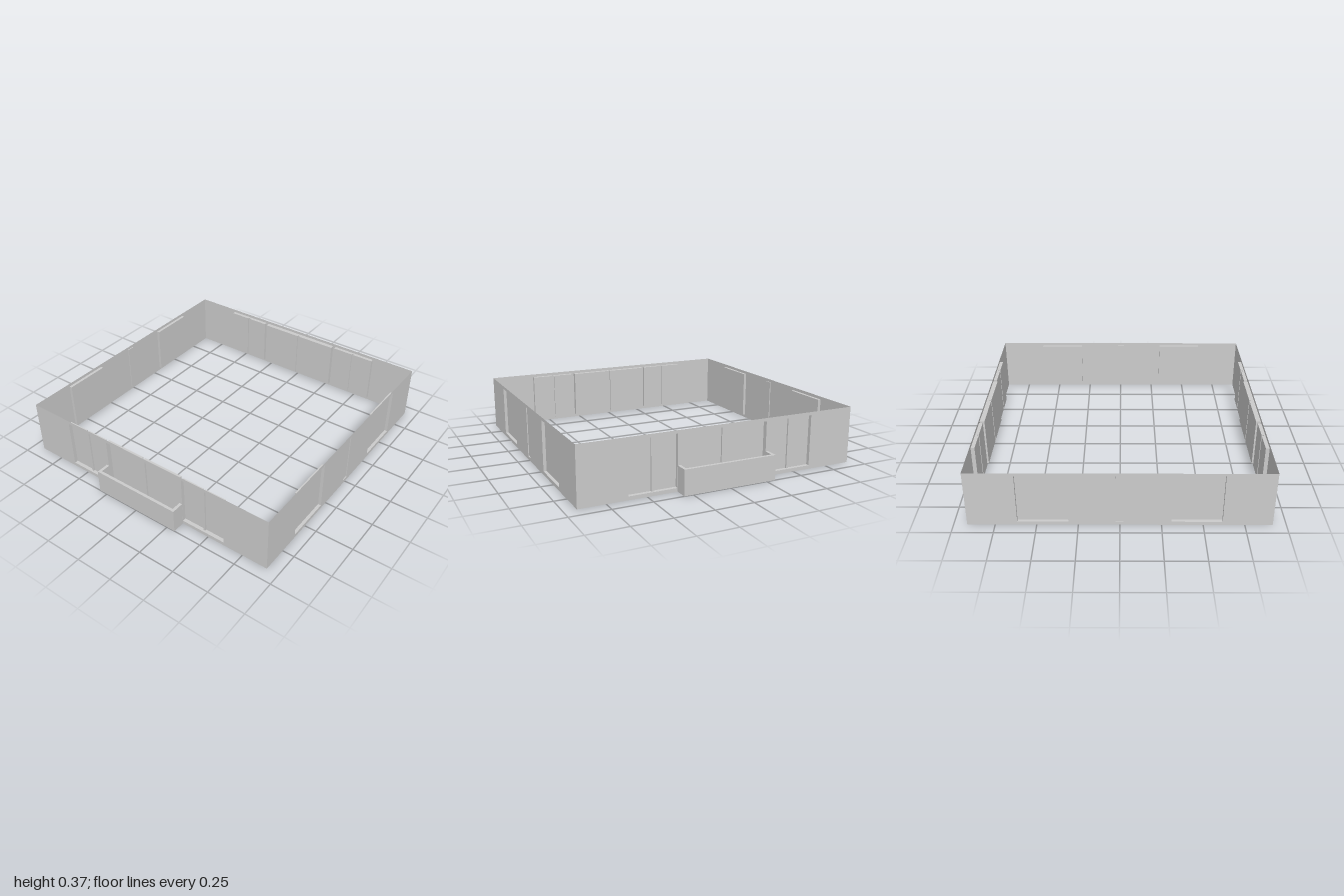
import * as THREE from 'three';

const H = 0.37;        // wall height
const HX = 0.918;      // side walls at x = +-HX
const HZ = 0.922;      // front and back walls at z = +-HZ
const Y0 = 0.023, Y1 = 0.35; // window sill and head

const mat = new THREE.MeshStandardMaterial({ color: 0xcccccc, side: THREE.DoubleSide, flatShading: true });

function addMesh(parent, geometry, name) {
  const mesh = new THREE.Mesh(geometry, mat);
  mesh.name = name;
  parent.add(mesh);
  return mesh;
}

// Stand a plan outline (along the wall, depth behind it) up as a prism
function standPlan(points, y0, y1) {
  const shape = new THREE.Shape(points.map(([u, d]) => new THREE.Vector2(u, d)));
  return new THREE.ExtrudeGeometry(shape, { depth: y1 - y0, bevelEnabled: false })
    .rotateX(-Math.PI / 2).translate(0, y0, 0);
}

// Remove the triangles lying in the wall plane so the recess is open outwards
function openFront(geometry) {
  const p = geometry.getAttribute('position'), kept = [];
  for (let i = 0; i < p.count; i += 3) {
    if ([0, 1, 2].every(k => Math.abs(p.getZ(i + k)) < 1e-5)) continue;
    for (let k = 0; k < 3; k++) kept.push(p.getX(i + k), p.getY(i + k), p.getZ(i + k));
  }
  const out = new THREE.BufferGeometry();
  out.setAttribute('position', new THREE.Float32BufferAttribute(kept, 3));
  out.computeVertexNormals();
  return out;
}

// Thin wall in its own frame: x along it, y up, outside towards +z
function makeWall(name, halfWidth, openings) {
  const wall = new THREE.Group();
  wall.name = name;
  const rect = (u0, u1, y0, y1) => [[u0, y0], [u1, y0], [u1, y1], [u0, y1]]
    .map(([x, y]) => new THREE.Vector2(x, y));
  const shape = new THREE.Shape(rect(-halfWidth, halfWidth, 0, H));
  for (const o of openings) {
    const { u, w, depth, mullion } = o;
    const a = u - w / 2, b = u + w / 2, m = 0.007;
    shape.holes.push(new THREE.Path(rect(a, b, Y0, Y1)));
    const plan = [[a, 0], [a, depth]];
    if (mullion) { // narrow post standing slightly proud of the panes
      plan.push([u - m, depth], [u - m, depth - 0.011], [u + m, depth - 0.011], [u + m, depth]);
    }
    plan.push([b, depth], [b, 0]);
    addMesh(wall, openFront(standPlan(plan, Y0, Y1)), o.name);
  }
  addMesh(wall, new THREE.ShapeGeometry(shape), 'wallPanel');
  return wall;
}

// Balcony: U-shaped parapet around a floor slab
function makeBalcony() {
  const balcony = new THREE.Group();
  balcony.name = 'balcony';
  const w = 0.308, t = 0.019, out = 1 - HX;
  const plan = [[-w, 0], [-w, -out], [w, -out], [w, 0],
    [w - t, 0], [w - t, t - out], [t - w, t - out], [t - w, 0]];
  addMesh(balcony, standPlan(plan, 0, 0.16), 'parapet');
  const floor = new THREE.BoxGeometry(2 * (w - t), Y0, out - t).translate(0, Y0 / 2, (out - t) / 2);
  addMesh(balcony, floor, 'balconyFloor');
  return balcony;
}

export function createModel() {
  const model = new THREE.Group();
  model.name = 'buildingStorey';

  // Front and back: two wide windows and a shallow slit between them
  const frontOpenings = [
    { name: 'wideWindow', u: -0.463, w: 0.307, depth: 0.02 },
    { name: 'slitWindow', u: -0.003, w: 0.048, depth: 0.006 },
    { name: 'wideWindow', u: 0.463, w: 0.307, depth: 0.02 },
  ];
  // Sides: two paired windows and a balcony door
  const sideOpenings = [
    { name: 'pairedWindow', u: -0.463, w: 0.308, depth: 0.024, mullion: true },
    { name: 'balconyDoor', u: 0, w: 0.578, depth: 0.031, mullion: true },
    { name: 'pairedWindow', u: 0.463, w: 0.308, depth: 0.024, mullion: true },
  ];

  for (const s of [1, -1]) {
    const end = makeWall(s > 0 ? 'frontWall' : 'backWall', HX, frontOpenings);
    end.rotation.y = s > 0 ? 0 : Math.PI;
    end.position.z = s * HZ;
    const side = makeWall(s > 0 ? 'leftWall' : 'rightWall', HZ, sideOpenings);
    side.add(makeBalcony());
    side.rotation.y = s * Math.PI / 2;
    side.position.x = s * HX;
    model.add(end, side);
  }
  return model;
}
